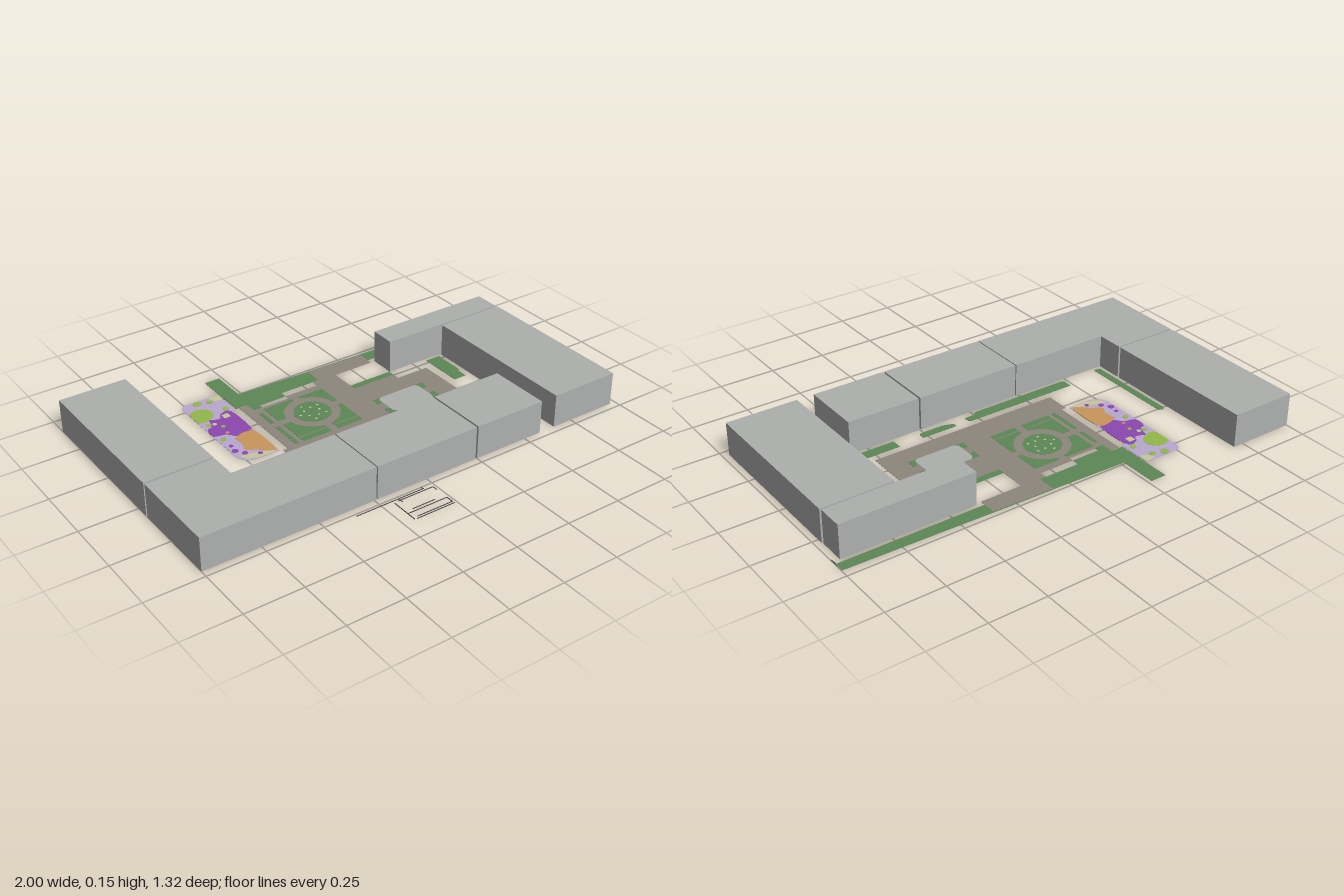
import * as THREE from 'three';

const mat = (name, color) => {
  const m = new THREE.MeshStandardMaterial({ color });
  m.name = name;
  return m;
};

export function createModel() {
  const root = new THREE.Group();
  root.name = 'courtyardBlock';
  const M = {
    building: mat('building grey', 0xadb0ae),
    green: mat('lawn green', 0x5c8757),
    paving: mat('paving taupe', 0x8e867d),
    lavender: mat('soft lavender', 0xb9a8cf),
    purple: mat('play purple', 0x8c48b2),
    lime: mat('play lime', 0x93b84a),
    orange: mat('play orange', 0xc9965a),
    beige: mat('sand beige', 0xc5c99b),
    line: mat('marking dark', 0x4a4a4a),
  };

  // Flat plate from a plan shape; higher layers stick out above and below lower ones
  const MID = 0.003, STEP = 0.0007;
  function plate(parent, name, shape, material, layer = 1) {
    const h = layer * STEP;
    const g = new THREE.ExtrudeGeometry(shape, { depth: 2 * h, bevelEnabled: false, curveSegments: 16 });
    g.rotateX(Math.PI / 2).translate(0, MID + h, 0);
    const mesh = new THREE.Mesh(g, material);
    mesh.name = name;
    parent.add(mesh);
    return mesh;
  }
  const poly = (pts) => new THREE.Shape(pts.map(([x, z]) => new THREE.Vector2(x, z)));
  const rect = (x0, x1, z0, z1) => poly([[x0, z0], [x1, z0], [x1, z1], [x0, z1]]);
  const disc = (x, z, r) => new THREE.Shape().absarc(x, z, r, 0, Math.PI * 2);
  const blob = (pts) => new THREE.Shape(
    new THREE.SplineCurve([...pts, pts[0]].map(([x, z]) => new THREE.Vector2(x, z))).getPoints(40).slice(0, -1));
  const group = (name) => {
    const g = new THREE.Group();
    g.name = name;
    root.add(g);
    return g;
  };

  // Surrounding buildings, all the same height
  const blocks = group('buildings');
  const H = 0.148;
  [
    ['westWing', rect(-1, -0.703, -0.66, 0.058)],
    ['cornerBuilding', poly([[-1, 0.068], [-0.703, 0.068], [-0.703, 0.19], [-0.24, 0.19], [-0.24, 0.468], [-1, 0.468]])],
    ['frontCentre', rect(-0.235, 0.243, 0.19, 0.468)],
    ['frontRight', rect(0.251, 0.58, 0.19, 0.468)],
    ['eastWing', rect(0.657, 0.973, -0.275, 0.468)],
    ['backBuilding', rect(0.378, 0.97, -0.4, -0.284)],
  ].forEach(([name, shape]) => {
    const g = new THREE.ExtrudeGeometry(shape, { depth: H, bevelEnabled: false });
    g.rotateX(Math.PI / 2).translate(0, H, 0);
    const b = new THREE.Mesh(g, M.building);
    b.name = name;
    blocks.add(b);
  });

  // Paved square
  const square = group('square');
  plate(square, 'paving', poly([
    [-0.345, 0.09], [0.525, 0.09], [0.525, -0.215], [0.372, -0.215], [0.372, -0.25], [0.165, -0.25],
    [0.165, -0.395], [0.355, -0.395], [0.355, -0.475], [0.08, -0.485], [0.08, -0.4], [0.05, -0.4],
    [0.05, -0.365], [-0.11, -0.365], [-0.11, -0.345], [-0.28, -0.345], [-0.28, -0.395], [-0.322, -0.395],
    [-0.322, -0.02], [-0.345, -0.02]]), M.paving);

  // Lawns and hedges
  const lawns = group('lawns');
  [
    [[-0.335, -0.66], [-0.265, -0.66], [-0.265, -0.495], [0.08, -0.485], [0.08, -0.4], [-0.335, -0.4]],
    [[0.08, -0.487], [1, -0.465], [1, -0.42], [0.355, -0.42], [0.355, -0.475], [0.08, -0.485]],
    [[-0.28, -0.4], [-0.11, -0.4], [-0.11, -0.367], [-0.24, -0.367], [-0.24, -0.345], [-0.28, -0.345]],
    [[0.165, -0.28], [0.372, -0.28], [0.372, -0.25], [0.165, -0.25]],
    [[-0.683, -0.255], [-0.672, -0.268], [-0.652, -0.26], [-0.652, 0.165], [-0.66, 0.172], [-0.683, 0.165]],
    [[-0.482, 0.122], [0.04, 0.122], [0.05, 0.132], [0.05, 0.155], [0, 0.158], [-0.01, 0.172], [-0.47, 0.172], [-0.482, 0.162]],
    [[0.113, 0.124], [0.275, 0.124], [0.275, 0.152], [0.265, 0.16], [0.16, 0.16], [0.113, 0.145]],
    [[0.39, 0.122], [0.54, 0.122], [0.582, 0.17], [0.39, 0.17]],
    [[0.565, -0.265], [0.635, -0.265], [0.635, -0.12], [0.625, -0.115], [0.625, -0.065], [0.565, -0.065]],
  ].forEach((p, i) => plate(lawns, 'lawn' + (i + 1), poly(p), M.green));
  plate(lawns, 'boundaryEdge', rect(0.996, 1, -0.42, -0.39), M.line);

  // Formal garden: round bed, ring path and four beds cut to the ring
  const garden = group('formalGarden');
  const cx = -0.087, cz = -0.197, R = 0.118, half = 0.017;
  plate(garden, 'roundBed', disc(cx, cz, 0.08), M.green, 2);
  for (const sx of [-1, 1]) for (const sz of [-1, 1]) {
    const ex = sx < 0 ? -0.243 : 0.05, ez = sz < 0 ? -0.33 : -0.028;
    const a0 = Math.asin(half / R), pts = [];
    for (let i = 0; i <= 10; i++) {
      const a = a0 + (Math.PI / 2 - 2 * a0) * i / 10;
      pts.push([cx + sx * R * Math.cos(a), cz + sz * R * Math.sin(a)]);
    }
    pts.push([cx + sx * half, ez], [ex, ez], [ex, cz + sz * half]);
    plate(garden, 'cornerBed', poly(pts), M.green, 2);
    plate(garden, 'sideBed', sz < 0 ? rect(-0.28, -0.262, -0.31, cz - half) : rect(-0.28, -0.262, cz + half, -0.028), M.green, 2);
  }
  plate(garden, 'gardenCurb', rect(-0.243, 0.05, -0.063, -0.059), M.paving, 3);
  for (let i = 0; i < 10; i++) {
    const a = i * Math.PI / 5, r = i % 2 ? 0.058 : 0.035;
    plate(garden, 'shrub', disc(cx + r * Math.cos(a), cz + r * Math.sin(a), 0.005), M.beige, 3);
  }

  // Pale court with planted corner brackets
  const court = group('court');
  plate(court, 'courtFloor', poly([
    [0.21, -0.125], [0.39, -0.125], [0.402, -0.11], [0.402, -0.012], [0.39, 0.002],
    [0.21, 0.002], [0.195, -0.012], [0.195, -0.11]]), M.building, 2);
  for (const sx of [-1, 1]) for (const sz of [-1, 1]) {
    const p = (x, z) => [0.299 + sx * x, -0.062 + sz * z];
    plate(court, 'cornerHedge', poly([
      p(0.13, 0.022), p(0.13, 0.062), p(0.092, 0.062), p(0.104, 0.05), p(0.104, 0.035), p(0.115, 0.022)]), M.green, 2);
  }

  // Playground with coloured soft surfaces
  const play = group('playground');
  const x0 = -0.524, x1 = -0.34, z0 = -0.545, z1 = -0.028;
  const base = new THREE.Shape();
  base.moveTo(x0 + 0.035, z0);
  base.lineTo(x1, z0);
  base.lineTo(x1, -0.4);
  base.lineTo(-0.358, -0.39);
  base.lineTo(-0.358, z1);
  base.lineTo(x0 + 0.075, z1);
  base.quadraticCurveTo(x0, z1, x0, z1 - 0.075);
  base.lineTo(x0, z0 + 0.035);
  base.quadraticCurveTo(x0, z0, x0 + 0.035, z0);
  plate(play, 'softFloor', base, M.lavender);
  plate(play, 'purpleArea', blob([[-0.475, -0.385], [-0.43, -0.37], [-0.41, -0.4], [-0.362, -0.395], [-0.362, -0.23],
    [-0.4, -0.225], [-0.44, -0.215], [-0.47, -0.25], [-0.52, -0.265], [-0.518, -0.32], [-0.49, -0.335]]), M.purple, 2);
  plate(play, 'orangeArea', blob([[-0.46, -0.205], [-0.41, -0.225], [-0.362, -0.21], [-0.362, -0.045], [-0.4, -0.055],
    [-0.43, -0.085], [-0.468, -0.11], [-0.455, -0.15]]), M.orange, 2);
  plate(play, 'sandArea', blob([[-0.512, -0.085], [-0.47, -0.075], [-0.42, -0.06], [-0.37, -0.034], [-0.45, -0.033], [-0.495, -0.052]]), M.beige, 2);
  plate(play, 'sandCorner', blob([[-0.39, -0.538], [-0.345, -0.538], [-0.345, -0.5], [-0.375, -0.505]]), M.beige, 2);
  plate(play, 'limeMound', blob([[-0.52, -0.47], [-0.48, -0.485], [-0.438, -0.46], [-0.435, -0.415], [-0.47, -0.385], [-0.52, -0.39]]), M.lime, 2);
  plate(play, 'sandSquare', rect(-0.413, -0.383, -0.39, -0.36), M.beige, 3);
  [
    ['lime', -0.45, -0.525, 0.018], ['lime', -0.4, -0.51, 0.014], ['lime', -0.37, -0.425, 0.014],
    ['lime', -0.495, -0.35, 0.012], ['lime', -0.5, -0.225, 0.013], ['lime', -0.45, -0.31, 0.009],
    ['purple', -0.505, -0.125, 0.014], ['purple', -0.48, -0.09, 0.012], ['purple', -0.5, -0.165, 0.009],
    ['purple', -0.43, -0.055, 0.01], ['orange', -0.46, -0.26, 0.008], ['beige', -0.47, -0.345, 0.01],
  ].forEach(([c, x, z, r]) => plate(play, c + 'Spot', disc(x, z, r), M[c], 3));

  // Thin ground markings in front of the block
  const marks = group('groundMarkings');
  const t = 0.002;
  [
    [-0.365, -0.05, 0.515], [-0.18, -0.015, 0.526], [-0.165, -0.06, 0.597], [-0.2, -0.015, 0.612],
    [-0.18, -0.015, 0.645], [-0.19, -0.012, 0.656],
  ].forEach(([a, b, z]) => plate(marks, 'longMark', rect(a, b, z - t, z + t), M.line));
  [
    [-0.2, 0.53, 0.655], [-0.015, 0.526, 0.55], [-0.015, 0.612, 0.645], [-0.055, 0.503, 0.515], [-0.17, 0.515, 0.54],
  ].forEach(([x, a, b]) => plate(marks, 'crossMark', rect(x - t, x + t, a, b), M.line));

  return root;
}
